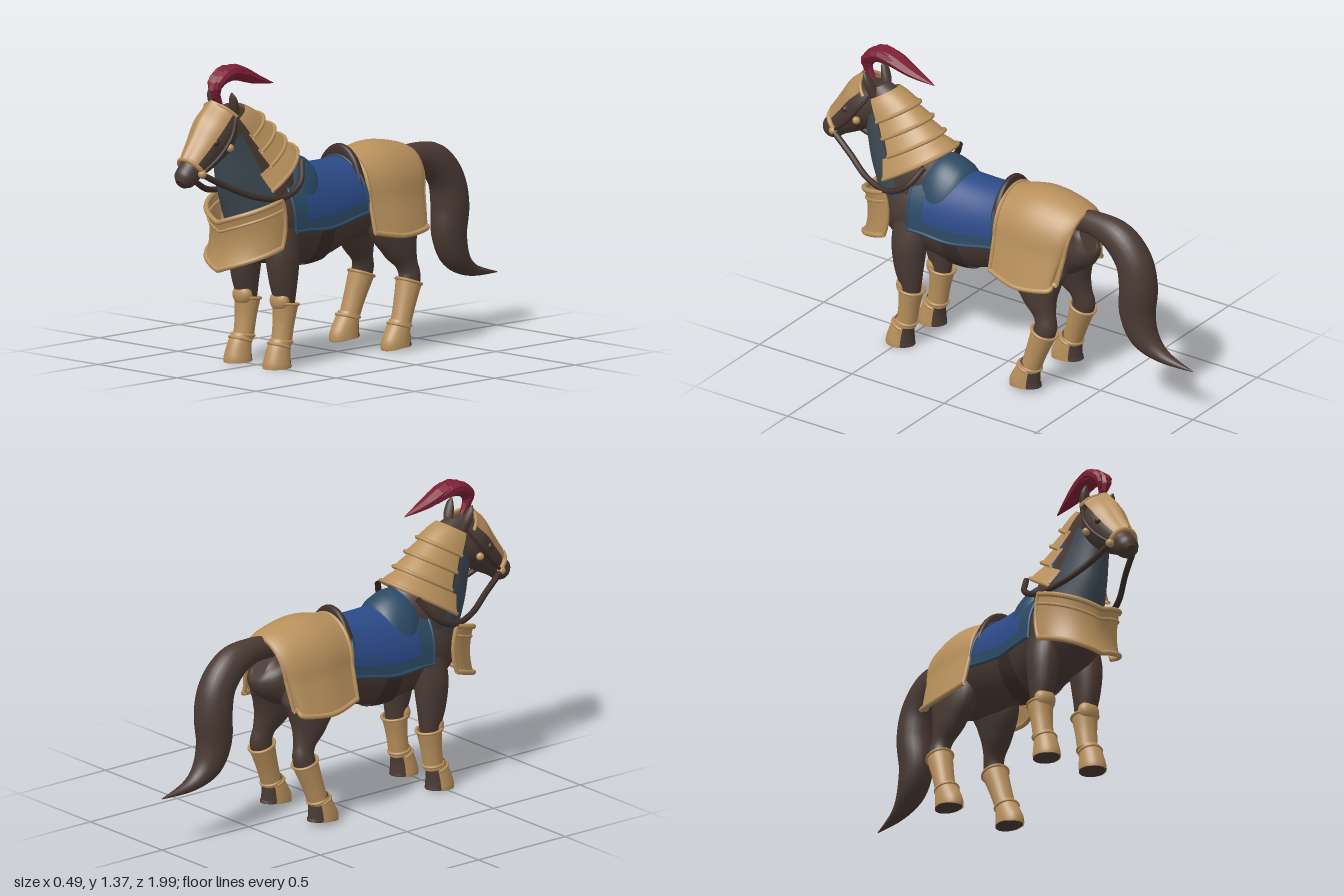
import * as THREE from 'three';

const mat = (name, color, double) => {
  const m = new THREE.MeshStandardMaterial({ color });
  m.name = name;
  if (double) m.side = THREE.DoubleSide;
  return m;
};
const PI = Math.PI;

// Smooth interpolation of rows [x, y, z, halfWidth, halfDepth]; t counts rows
function sample(rows, t) {
  const n = rows.length - 1;
  t = Math.min(Math.max(t, 0), n);
  const i = Math.min(Math.floor(t), n - 1), f = t - i;
  const p = k => rows[Math.min(Math.max(k, 0), n)];
  return rows[0].map((_, c) => {
    const a = p(i - 1)[c], b = p(i)[c], d = p(i + 1)[c], e = p(i + 2)[c];
    return b + 0.5 * f * (d - a + f * (2 * a - 5 * b + 4 * d - e + f * (3 * (b - d) + e - a)));
  });
}

// Point on the swept surface; with a flare, angles past 0 and PI run on as straight skirts
function at(rows, t, s, off = 0, flare) {
  const [x, y, z, rx, rn] = sample(rows, t);
  const a = sample(rows, t - 0.05), b = sample(rows, t + 0.05);
  const len = Math.hypot(b[1] - a[1], b[2] - a[2]) || 1;
  const ty = (b[1] - a[1]) / len, tz = (b[2] - a[2]) / len;
  let c = Math.cos(s), n = Math.sin(s);
  const over = Math.max(-s, s - PI);
  if (flare !== undefined && over > 0) { c = Math.sign(c) * (1 + flare * over); n = -over; }
  const w = Math.max(rx, 0.001) + off, d = Math.max(rn, 0.001) + off;
  return new THREE.Vector3(x + c * w, Math.max(0, y + n * d * tz), z - n * d * ty);
}

// Grid surface from fn(u, v); closed ones wrap round v and get end caps
function grid(fn, nu, nv, closed) {
  const pos = [], idx = [], cols = closed ? nv : nv + 1;
  for (let i = 0; i <= nu; i++)
    for (let j = 0; j < cols; j++) pos.push(...fn(i / nu, j / nv).toArray());
  for (let i = 0; i < nu; i++) for (let j = 0; j < nv; j++) {
    const a = i * cols + j, b = i * cols + (j + 1) % cols;
    idx.push(a, b, a + cols, b, b + cols, a + cols);
  }
  if (closed) for (const end of [0, 1]) {
    const base = pos.length / 3, mid = new THREE.Vector3();
    for (let j = 0; j < nv; j++) {
      const p = fn(end, j / nv);
      mid.addScaledVector(p, 1 / nv);
      pos.push(...p.toArray());
    }
    pos.push(...mid.toArray());
    for (let j = 0; j < nv; j++) {
      const a = base + j, b = base + (j + 1) % nv;
      idx.push(base + nv, end ? a : b, end ? b : a);
    }
  }
  const g = new THREE.BufferGeometry();
  g.setAttribute('position', new THREE.Float32BufferAttribute(pos, 3));
  g.setIndex(idx);
  g.computeVertexNormals();
  return g;
}

const loft = (rows, sides = 24, steps = 5) =>
  grid((u, v) => at(rows, u * (rows.length - 1), v * 2 * PI), (rows.length - 1) * steps, sides, true);

// Part of a swept surface, lifted off it by off0 at the start to off1 at the end
const shell = (rows, t0, t1, s0, s1, off0, off1 = off0, flare) =>
  grid((u, v) => at(rows, t0 + (t1 - t0) * u, s0 + (s1 - s0) * v, off0 + (off1 - off0) * u, flare), 14, 32);

const tube = (pts, r) => new THREE.TubeGeometry(new THREE.CatmullRomCurve3(pts), 40, r, 8);
const V = (x, y, z) => new THREE.Vector3(x, y, z);
const line = (fn, n = 24) => Array.from({ length: n + 1 }, (_, i) => fn(i / n));
const arcRim = (rows, t, s0, s1, off, r, flare) =>
  tube(line(k => at(rows, t, s0 + (s1 - s0) * k, off, flare)), r);

export function createModel() {
  const gold = mat('gold armour', 0xb8905c, true), coat = mat('brown coat', 0x4a3a34);
  const leather = mat('dark leather', 0x3d2e2a, true), crimson = mat('crimson plume', 0x7d1f35);
  const blue = mat('blue cloth', 0x2c4a88, true), border = mat('slate blue border', 0x2c4a64, true);
  const slate = mat('grey neck cloth', 0x3e4a54, true);
  const model = new THREE.Group();
  const add = (name, geo, m) => {
    const mesh = new THREE.Mesh(geo, m);
    mesh.name = name;
    model.add(mesh);
    return mesh;
  };
  const ball = (name, x, y, z, r, m) => add(name, new THREE.SphereGeometry(r, 16, 12), m).position.set(x, y, z);

  // Body, neck, head and tail
  const body = [[0, .74, -.43, .04, .06], [0, .72, -.4, .11, .13], [0, .71, -.3, .155, .18], [0, .7, -.15, .16, .19],
    [0, .68, 0, .152, .19], [0, .65, .2, .158, .22], [0, .655, .35, .16, .21], [0, .65, .5, .155, .19],
    [0, .65, .6, .11, .14], [0, .66, .64, .04, .06]];
  const neck = [[0, .62, .42, .13, .2], [0, .78, .48, .135, .21], [0, .9, .55, .11, .19],
    [0, 1.02, .62, .085, .145], [0, 1.12, .68, .07, .1], [0, 1.17, .71, .05, .06]];
  const head = [[0, 1.15, .68, .06, .07], [0, 1.075, .755, .092, .1], [0, 1, .83, .078, .085],
    [0, .93, .91, .055, .058], [0, .89, .955, .05, .05], [0, .87, .978, .025, .025]];
  const tail = [[0, .82, -.36, .04, .05], [0, .825, -.48, .05, .06], [0, .79, -.6, .07, .08], [0, .7, -.68, .08, .085],
    [0, .58, -.705, .085, .088], [0, .45, -.7, .075, .085], [0, .34, -.74, .065, .065], [0, .27, -.84, .035, .03],
    [0, .24, -1, .002, .002]];
  add('body', loft(body, 32), coat);
  add('neck', loft(neck, 28), coat);
  add('head', loft(head, 28), coat);
  add('tail', loft(tail), coat);

  // Neck cloth and overlapping neck plates
  add('neckCloth', shell(neck, .3, 3.6, PI * 1.05, PI * 1.95, .006), slate);
  add('neckLining', shell(neck, 1.8, 3, .1, PI - .1, .012), blue);
  [[1.5, 2.08, .045], [2.13, 2.75, .036], [2.7, 3.4, .036], [3.3, 4.3, .034]].forEach(([a, b, o], i) => {
    const s = i ? .02 : -.25;
    add('neckPlate', shell(neck, a, b, s, PI - s, o, .016), gold);
    add('neckPlateRim', arcRim(neck, a, s, PI - s, o, .009), gold);
  });

  // Face plate with brow peak, noseband and crest
  const brow = grid((u, v) => at(head, .25 + 2.75 * u, .5 + (PI - 1) * v,
    .012 + .028 * (1 - u) ** 5 + .012 * Math.max(0, 1 - Math.abs(v - .5) * 6)), 24, 28);
  add('facePlate', brow, gold);
  add('browRim', arcRim(head, .3, .3, PI - .3, .034, .008), gold);
  add('noseband', arcRim(head, 3, 0, PI, .008, .011), gold);
  const plumes = [
    [0, [[0, 1.2, .73, .012, .012], [0, 1.27, .765, .022, .03], [0, 1.325, .72, .04, .035],
      [0, 1.335, .63, .048, .038], [0, 1.295, .52, .035, .025], [0, 1.26, .4, .002, .002]]],
    [1, [[.01, 1.24, .755, .01, .012], [.025, 1.3, .76, .02, .02], [.028, 1.345, .68, .024, .026],
      [.022, 1.31, .57, .018, .02], [.01, 1.28, .49, .002, .002]]]];
  for (const [pair, rows] of plumes) for (const m of pair ? [1, -1] : [1]) {
    const g = loft(rows.map(([x, ...r]) => [x * m, ...r]), 7, 3).toNonIndexed();
    g.computeVertexNormals();
    add('plume', g, crimson);
  }

  // Saddle cloth, saddle and girth
  const cloth = (name, t0, t1, s0, s1, o, m) => add(name, shell(body, t0, t1, s0, s1, o, o, .06), m);
  cloth('saddleCloth', 3.8, 6.1, 0, PI, .012, blue);
  cloth('clothFrontBorder', 6.0, 6.5, -.2, PI + .2, .016, border);
  cloth('clothLowerBorder', 3.8, 6.1, -.2, .03, .014, border);
  cloth('clothLowerBorder', 3.8, 6.1, PI - .03, PI + .2, .014, border);
  for (const t of [3.8, 6.5]) add('clothHem', arcRim(body, t, -.2, PI + .2, .014, .008, .06), border);
  for (const s of [-.2, PI + .2])
    add('clothHem', tube(line(k => at(body, 3.8 + 2.7 * k, s, .014, .06)), .008), border);
  const pommel = [[0, .69, .26, .14, .17], [0, .7, .29, .155, .225], [0, .7, .33, .155, .235], [0, .69, .36, .14, .17]];
  add('saddlePommel', shell(pommel, 0, 3, .1, PI - .1, 0), border);
  const cantle = [[0, .7, -.04, .15, .17], [0, .7, -.034, .155, .23], [0, .7, -.008, .155, .23], [0, .7, 0, .15, .17]];
  add('saddleCantle', shell(cantle, 0, 3, .3, PI - .3, 0), leather);
  add('girth', shell(body, 4.86, 5.32, PI, 2 * PI, .008), leather);

  // Rump armour with rolled edges
  const rump = [[0, .7, -.4, .14, .17], [0, .705, -.36, .172, .2], [0, .71, -.2, .19, .222], [0, .71, -.04, .165, .19]];
  const drop = -.82, flare = .28;
  add('rumpPlate', shell(rump, 0, 3, drop, PI - drop, 0, 0, flare), gold);
  for (const t of [0, 3]) add('rumpRim', arcRim(rump, t, drop, PI - drop, 0, .01, flare), gold);
  for (const s of [drop, PI - drop])
    add('rumpRim', tube(line(k => at(rump, 3 * k, s, 0, flare)), .012), gold);

  // Chest plate: pointed below, dipping above
  const chest = (u, v) => {
    const w = v * 2 - 1, m = Math.abs(w), top = .67 + .1 * m, low = .455 + .1 * m;
    return V(.198 * Math.sin(w * PI / 2), top + (low - top) * u,
      .53 + .185 * Math.cos(w * PI / 2) + .022 * (1 - m) + .02 * (2 * u - 1) ** 2 - .012);
  };
  add('chestPlate', grid(chest, 12, 32), gold);
  for (const u of [0, .2, 1]) add('chestRim', tube(line(k => chest(u, k)), u === .2 ? .007 : .012), gold);
  for (const v of [0, 1]) add('chestRim', tube(line(k => chest(k, v), 8), .01), gold);

  // Paired parts
  const legs = [
    { name: 'front', leg: [[.1, .66, .44, .05, .09], [.115, .52, .455, .07, .085], [.12, .4, .455, .06, .072],
      [.12, .3, .448, .046, .052], [.12, .2, .455, .037, .042], [.12, .1, .47, .036, .04], [.12, .05, .48, .04, .04]],
      guard: [[.12, .285, .442, .058, .06], [.12, .2, .453, .05, .048], [.12, .1, .468, .046, .046]],
      hoof: [[.122, .12, .472, .045, .045], [.123, .07, .487, .05, .056], [.124, .02, .495, .056, .066], [.124, .002, .495, .056, .068]] },
    { name: 'hind', leg: [[.1, .72, -.26, .05, .12], [.11, .58, -.24, .075, .15], [.125, .47, -.26, .065, .1],
      [.14, .38, -.295, .045, .055], [.15, .31, -.305, .045, .053], [.158, .2, -.265, .037, .04],
      [.163, .1, -.232, .036, .038], [.163, .06, -.222, .04, .04]],
      guard: [[.15, .3, -.3, .058, .06], [.157, .2, -.265, .05, .05], [.163, .1, -.232, .046, .045]],
      hoof: [[.162, .13, -.235, .045, .045], [.163, .085, -.222, .05, .058], [.164, .035, -.21, .053, .074], [.164, .018, -.21, .053, .078]] }];
  for (const m of [1, -1]) {
    const flip = rows => rows.map(([x, ...r]) => [x * m, ...r]);
    for (const l of legs) {
      const guard = flip(l.guard), hoof = flip(l.hoof);
      add(l.name + 'Leg', loft(flip(l.leg)), coat);
      add(l.name + 'Greave', shell(guard, 0, 2, 0, 2 * PI, 0), gold);
      for (const t of [0, 1.75]) add(l.name + 'GreaveRim', arcRim(guard, t, 0, 2 * PI, 0, .007), gold);
      add(l.name + 'Hoof', loft(hoof, 20, 3), coat);
      add(l.name + 'HoofPlate', shell(hoof, 0, 3, -.45, PI + .45, .004), gold);
      add(l.name + 'HoofRim', arcRim(hoof, .5, -.3, PI + .3, .004, .007), gold);
    }
    const knee = add('kneeCap', new THREE.SphereGeometry(.052, 20, 14), gold);
    knee.position.set(.118 * m, .3, .475);
    knee.scale.set(1, .95, .7);
    // Ears, eyes, bit bosses and reins
    const ear = [[.05, 1.14, .69, .02, .02], [.062, 1.19, .705, .026, .022], [.07, 1.235, .72, .02, .014], [.072, 1.262, .73, .004, .003]];
    add('ear', loft(flip(ear), 12), coat);
    ball('eye', .076 * m, 1.05, .83, .016, leather);
    ball('bitBoss', .064 * m, .915, .905, .02, gold);
    ball('cheekBoss', .092 * m, 1.02, .76, .018, gold);
    add('cheekStrap', tube([V(.064 * m, .92, .9), V(.09 * m, .99, .82), V(.098 * m, 1.07, .755), V(.07 * m, 1.15, .7)], .008), leather);
    add('rein', tube([V(.065 * m, .91, .9), V(.1 * m, .85, .79), V(.16 * m, .79, .65), V(.195 * m, .78, .52),
      V(.19 * m, .83, .42), V(.14 * m, .92, .36)], .014), leather);
  }
  return model;
}
